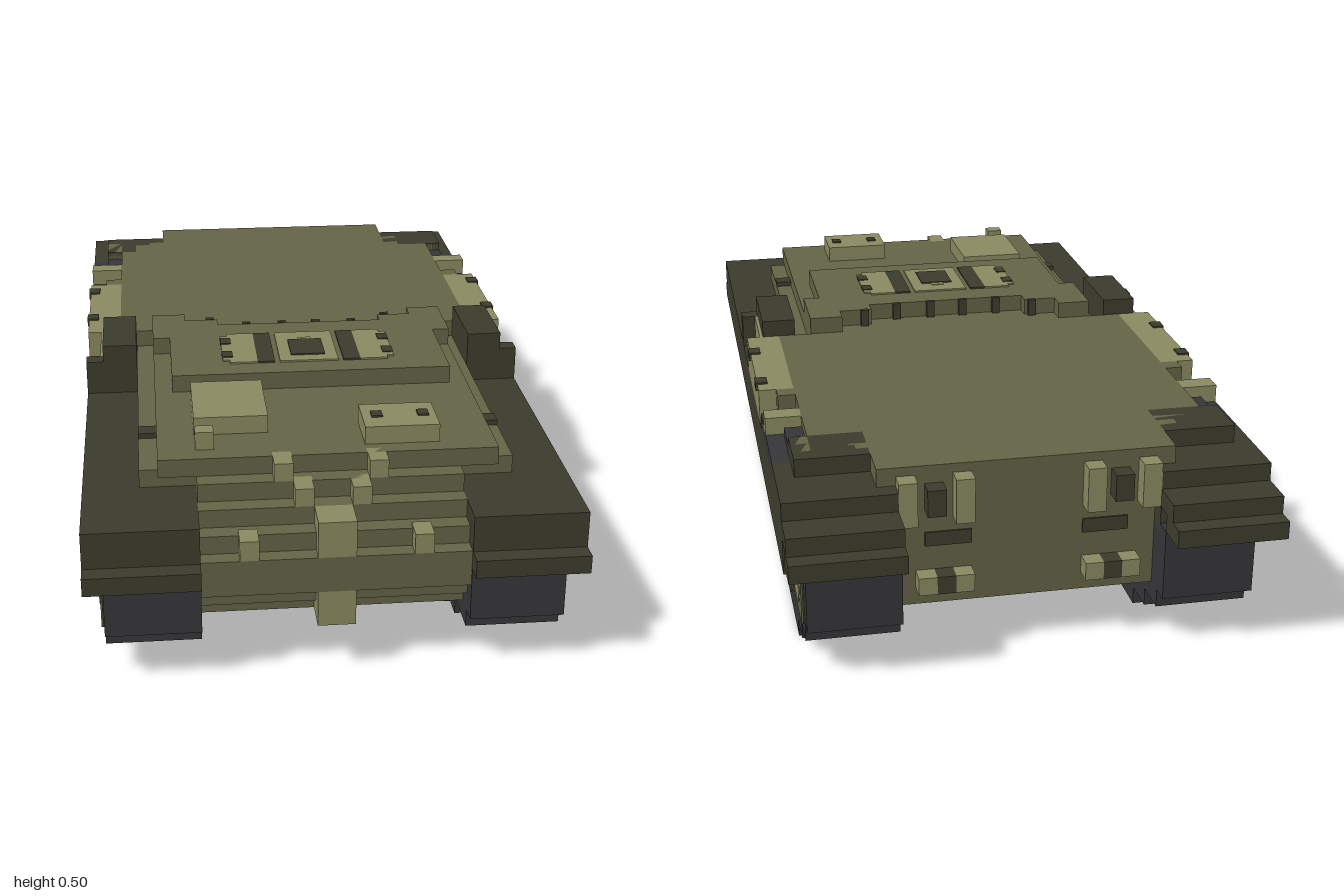
import * as THREE from 'three';

const U = 2 / 49; // one block

export function createModel() {
  const model = new THREE.Group();
  model.name = 'trackedVehicle';
  const paint = (name, color) => Object.assign(new THREE.MeshStandardMaterial({ color }), { name });
  const green = paint('olive green', 0x646446);
  const tan = paint('light olive', 0x8a8a61);
  const dark = paint('dark olive', 0x3c3c2d);
  const charcoal = paint('charcoal', 0x363538);

  // Box from extents in blocks
  const box = (name, mat, x0, x1, y0, y1, z0, z1) => {
    const m = new THREE.Mesh(new THREE.BoxGeometry((x1 - x0) * U, (y1 - y0) * U, (z1 - z0) * U), mat);
    m.position.set((x0 + x1) / 2 * U, (y0 + y1) / 2 * U, (z0 + z1) / 2 * U);
    m.name = name;
    model.add(m);
  };
  // The same box on both sides
  const pair = (name, mat, x0, x1, ...rest) => {
    box(name + 'Left', mat, x0, x1, ...rest);
    box(name + 'Right', mat, -x1, -x0, ...rest);
  };
  // Thin octagonal plate on the outside of each track
  const wheel = (name, mat, x, y, z, h, w, c) => {
    const s = new THREE.Shape([[-w, -h + c], [-w + c, -h], [w - c, -h], [w, -h + c],
      [w, h - c], [w - c, h], [-w + c, h], [-w, h - c]].map(([a, b]) => new THREE.Vector2(a * U, b * U)));
    for (const side of [1, -1]) {
      const m = new THREE.Mesh(new THREE.ExtrudeGeometry(s, { depth: 0.004, bevelEnabled: false }), mat);
      m.rotation.y = side * Math.PI / 2;
      m.position.set(side * x * U, y * U, z * U);
      m.name = name + (side > 0 ? 'Left' : 'Right');
      model.add(m);
    }
  };

  // Stepped tracks
  [[0, 1, -17.5, 16.5], [1, 2, -19.5, 19.5], [2, 3, -21.5, 22.5], [3, 6, -22.5, 23.5], [6, 7, -22.5, 22.5]]
    .forEach(([y0, y1, z0, z1]) => pair('track', charcoal, 7, 12, y0, y1, z0, z1));
  // Side skirts and wheels
  pair('skirt', dark, 12, 12.08, 3, 6, -21.5, 22.5);
  for (let i = 0; i < 8; i++) wheel('roadWheel', green, 12, 2, 14.6 - i * 4.05, 1, 1, 0.4);
  wheel('frontWheelSurround', green, 12.08, 4.5, 20.6, 1.5, 2, 0.1);
  wheel('frontWheel', tan, 12.15, 4.9, 20.6, 1.1, 1.45, 0.5);
  wheel('rearWheelSurround', green, 12.08, 4.5, -19.6, 1.5, 2, 0.1);
  wheel('rearWheel', tan, 12.15, 4.9, -19.6, 1.1, 1.45, 0.5);

  // Fenders in steps
  pair('fenderLow', dark, 7, 13, 6, 7, -21.5, 24.5);
  pair('fenderMiddle', dark, 7, 13, 7, 8, -21.5, 23.5);
  pair('fenderHigh', dark, 7, 13, 8, 9, -23.5, 23.5);
  pair('rearFlap', dark, 7, 13, 7, 8, -24.5, -22.5);
  pair('rearFenderTop', dark, 7, 13, 9, 10, -21.5, -16.5);
  pair('rearFenderCap', dark, 8, 12, 10, 11, -18.5, -15.5);

  // Hull with stepped nose
  [[3, 4, 21.5], [4, 5, 22.5], [5, 7, 23.4], [7, 8, 22.5], [8, 9, 21.5]]
    .forEach(([y0, y1, z1]) => box('hull', green, -7, 7, y0, y1, -20.5, z1));
  box('noseUpper', green, -7, 7, 9, 10, 10, 20.5);
  box('deckLower', green, -10, 10, 9, 10, 0, 18.5);
  box('deckUpper', green, -9, 9, 10, 11, 0, 19.5);
  pair('deckBracket', dark, 9, 10, 10, 10.3, 13.5, 14.5);

  // Nose fittings
  box('towPlateUpper', tan, -1, 1, 7, 9, 20.5, 23.4);
  box('towPlateLower', tan, -1, 1, 3, 5, 21, 23.4);
  pair('noseBreakerLow', tan, 1, 2, 9, 10, 20, 21.5);
  pair('noseBreakerHigh', tan, 2, 3, 10, 11, 19, 20.5);
  pair('towHook', tan, 4, 5, 7, 8.1, 22, 23.4);

  // Rear roof, tapering in steps toward the back
  [[11, -15.5, 0.5], [10, -17, -15.5], [9, -18, -17], [8, -19.5, -18]]
    .forEach(([x, z0, z1]) => box('rearRoof', green, -x, x, 9, 11, z0, z1));
  box('rearRoofEdge', green, -8, 8, 9, 11, -20.5, -19.5);

  // Raised roof with a curved rear edge
  box('raisedRoofFront', green, -8, 8, 11, 12, 4.5, 10.5);
  box('raisedRoofRear', green, -9, 9, 11, 12, 2.5, 4.5);
  pair('raisedRoofShoulder', green, 5, 9, 11, 12, 1.6, 2.5);
  pair('raisedRoofCorner', green, 7, 9, 11, 12, 0.5, 1.6);
  [0.8, 3].forEach((x) => pair('rearVent', dark, x, x + 0.5, 11, 12.05, 2.2, 2.52));
  pair('rearVentOuter', dark, 5.2, 5.7, 11, 12.05, 1.3, 1.62);

  // Roof hatch, painted flat
  const flat = (name, mat, x0, x1, z0, z1, t = 0.1) => box(name, mat, x0, x1, 12, 12 + t, z0, z1);
  flat('hatchCentre', tan, -1.7, 1.7, 4.4, 9);
  flat('hatchOpening', dark, -1, 1, 5.8, 8.2, 0.18);
  flat('hatchOpeningCore', tan, -0.4, 0.4, 5.4, 5.8, 0.14);
  for (const s of [1, -1]) {
    const f = (n, m, a, b, ...r) => flat(n, m, Math.min(s * a, s * b), Math.max(s * a, s * b), ...r);
    f('hatchSlot', dark, 2, 3, 4.4, 9);
    f('hatchWing', tan, 3, 4.6, 4.4, 9);
    f('hatchWingEdge', tan, 4.6, 5, 4.8, 8.6);
    f('hatchNotchFront', dark, 4.4, 5.02, 7.3, 8.2, 0.15);
    f('hatchNotchRear', dark, 4.4, 5.02, 5.2, 6.1, 0.15);
  }

  // Front deck boxes
  box('driverHatch', tan, -7, -3, 11, 12, 11.5, 16.5);
  box('periscope', tan, 2, 6, 11, 12, 15.5, 18.5);
  [2.5, 5].forEach((x) => box('periscopeLens', dark, x, x + 0.6, 12, 12.1, 16.6, 17.3));
  box('deckCap', tan, -7, -6, 11, 12, 17.5, 18.4);

  // Side launchers, stowage and exhaust
  pair('sideBlock', dark, 10, 12, 9, 12, 0.5, 5.5);
  pair('sideBlockTip', dark, 12, 13, 9, 11, 4.5, 5.5);
  pair('sidePanel', tan, 12, 12.2, 9, 11, -0.5, 4.5);
  pair('sideBox', tan, 11, 13, 9, 11, -8.5, 0.5);
  [-7.1, -2.1].forEach((z) => {
    pair('sideBoxLatchTop', dark, 12.4, 13.1, 10.6, 11.1, z - 0.45, z + 0.45);
  });
  pair('stowageGreen', green, 11, 12, 9, 11, -9.5, -8.5);
  pair('exhaust', charcoal, 11, 13, 9, 10, -16.5, -9.5);
  pair('exhaustCap', charcoal, 11, 12, 10, 10.5, -15.5, -13);
  pair('exhaustStrap', tan, 11, 13, 9, 11, -12.7, -11.5);
  pair('rearPost', green, 11, 12, 9, 11, -17.5, -15.5);

  // Rear lights and fittings
  pair('rearLightInner', tan, 3, 4, 8, 10.5, -21.5, -20.5);
  pair('rearLightOuter', tan, 6, 7, 8, 10.5, -21.5, -20.5);
  pair('rearLightLens', dark, 4.5, 5.5, 8.5, 10, -21.5, -20.5);
  pair('rearHookInner', tan, 3, 4, 4, 5, -21.5, -20.5);
  pair('rearHook', dark, 4, 5, 4, 5, -21.5, -20.5);
  pair('rearHookOuter', tan, 5, 6, 4, 5, -21.5, -20.5);
  pair('rearSlot', dark, 3, 5.5, 6.4, 7.2, -20.6, -20.5);
  return model;
}
